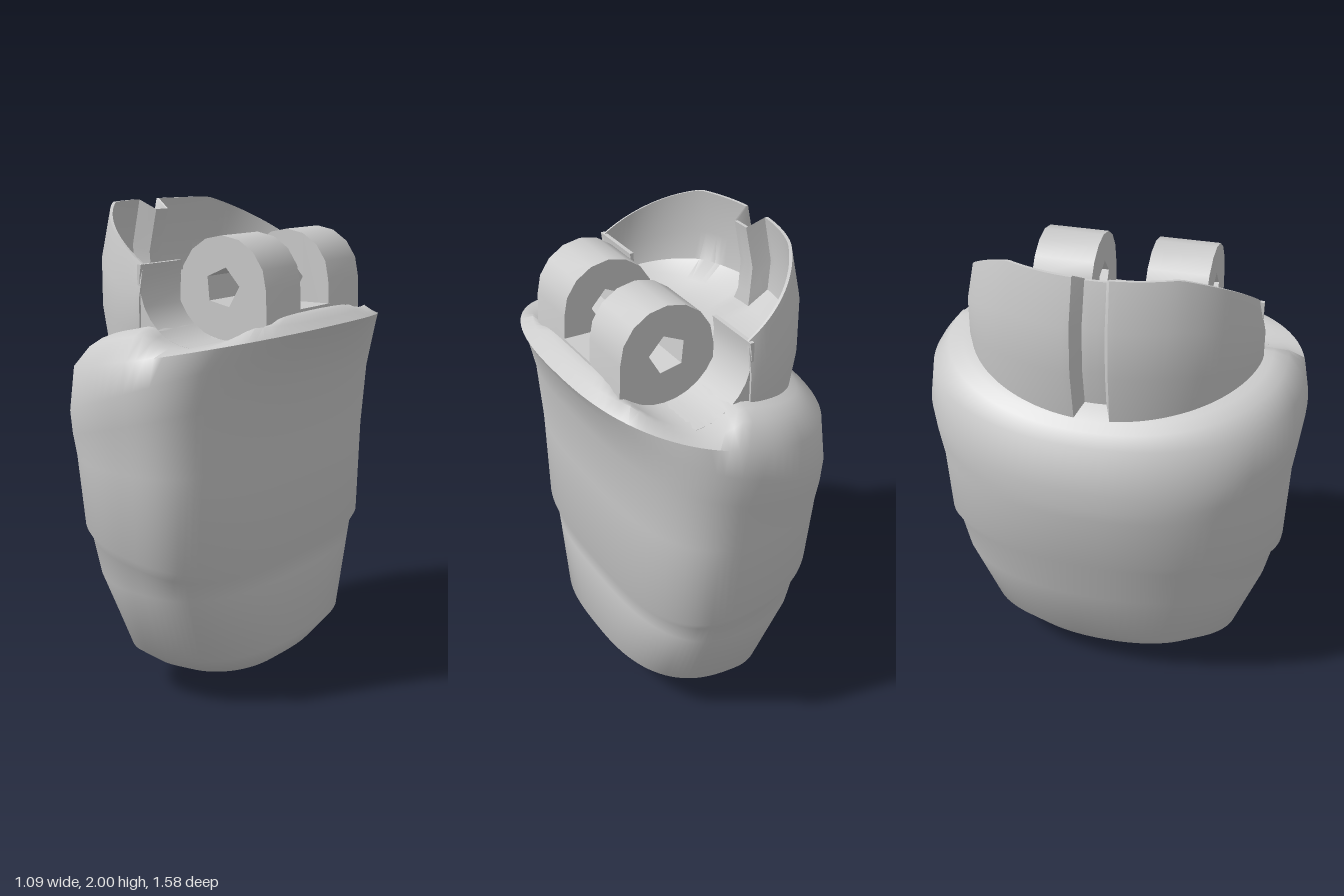
import * as THREE from 'three';
import { toCreasedNormals } from 'three/addons/utils/BufferGeometryUtils.js';

const material = new THREE.MeshStandardMaterial({ color: 0xcccccc, side: THREE.DoubleSide });

// Skin a grid of points: columns i, rows j
function skin(ni, nj, point, crease) {
  const pos = [], index = [];
  for (let i = 0; i <= ni; i++) for (let j = 0; j <= nj; j++) pos.push(...point(i, j));
  for (let i = 0; i < ni; i++) for (let j = 0; j < nj; j++) {
    const a = i * (nj + 1) + j, b = a + nj + 1;
    index.push(a, a + 1, b, b, a + 1, b + 1);
  }
  const g = new THREE.BufferGeometry();
  g.setAttribute('position', new THREE.Float32BufferAttribute(pos, 3));
  g.setIndex(index);
  return toCreasedNormals(g, crease);
}

function add(parent, name, geometry) {
  const mesh = new THREE.Mesh(geometry, material);
  mesh.name = name;
  parent.add(mesh);
  return mesh;
}

const PIVOT = { x: 0.215, y: 1.69 };
const SCOOP = { x: 0.235, y: 1.725, r: 0.24 };
const DECK = 12; // first ring of the top deck

// Body rings: y, tilt along x, extent to -x, extent to +x, half depth, squareness of +x side
const RINGS = [
  [0.003, 0, 0, 0, 0, 2],
  [0.015, 0, 0.06, 0.12, 0.13, 2],
  [0.05, 0, 0.15, 0.24, 0.31, 2.2],
  [0.11, 0, 0.22, 0.32, 0.43, 2.4],
  [0.20, 0, 0.29, 0.385, 0.56, 2.7],
  [0.50, -0.05, 0.425, 0.37, 0.675, 3],
  [0.62, -0.20, 0.465, 0.37, 0.705, 3],
  [0.665, -0.20, 0.485, 0.39, 0.735, 3],
  [1.00, 0, 0.525, 0.40, 0.75, 3],
  [1.18, 0.25, 0.53, 0.43, 0.775, 2.8],
  [1.30, 0.33, 0.53, 0.48, 0.79, 2.6],
  [1.43, 0.19, 0.51, 0.52, 0.77, 2.5],
  [1.52, 0.20, 0.46, 0.48, 0.70, 2.4],
  [1.54, 0.20, 0.43, 0.45, 0.64, 2.3],
  [1.55, 0.20, 0.39, 0.41, 0.56, 2.2],
  [1.55, 0.18, 0.35, 0.37, 0.50, 2.2],
  [1.55, 0.16, 0.30, 0.32, 0.44, 2.2],
  [1.55, 0.14, 0.25, 0.27, 0.38, 2.2],
  [1.55, 0.12, 0.20, 0.21, 0.31, 2.2],
  [1.55, 0.10, 0.13, 0.14, 0.22, 2.2],
  [1.55, 0.10, 0, 0, 0, 2],
];

function bodyPoint(i, j) {
  const [y0, tilt, back, front, depth, square] = RINGS[j];
  const t = (i / 96) * Math.PI * 2, c = Math.cos(t), s = Math.sin(t);
  const e = 2 / (c > 0 ? square : 2.15);
  const x = (c > 0 ? front : -back) * Math.abs(c) ** e + (j < 2 ? 0.04 : 0);
  const z = Math.sign(s) * depth * Math.abs(s) ** e;
  let y = y0 + tilt * x;
  if (j >= DECK) {
    y -= 0.27 * x * x;
    // Round scoops in the deck beside the knuckles
    const d = x - SCOOP.x;
    if (Math.abs(d) < SCOOP.r) {
      const pipe = SCOOP.y - Math.sqrt(SCOOP.r ** 2 - d * d);
      const blend = THREE.MathUtils.clamp((Math.abs(z) - 0.2) / 0.13, 0, 1);
      y += Math.min(0, pipe - y) * blend;
    }
  }
  return [x, y, z];
}

// Shell wall section: radius factor, height fraction (outside, rim, then inner bowl)
const WALL = [[0.91, 0], [1, 0.4], [1, 0.7], [0.91, 1], [0.88, 1], [0.96, 0.7], [0.94, 0.5], [0.78, 0.4], [0.45, 0.31], [0, 0.29]];
const SHELL = { a: 0.46, b: 0.605, base: 1.36 };

function shellPoint(i, j) {
  const t = Math.PI / 2 + (i / 64) * Math.PI;
  const [f, h] = WALL[j];
  const c = Math.cos(t), s = Math.sin(t);
  const notch = Math.abs(SHELL.b * s - 0.01) < 0.06;
  const top = Math.min(2, 1.785 - 0.57 * SHELL.a * c) - (notch ? 0.04 : 0);
  // Bowl rows stay level so they meet at one floor
  const y = j > 6 ? 1.44 + h * 0.42 : SHELL.base + h * (top - SHELL.base);
  return [SHELL.a * f * c + (notch && j < 7 ? 0.07 : 0), y, SHELL.b * Math.sqrt(f) * s];
}

// Concave block rising from a scoop to the shell end
function scoopWallGeometry() {
  const shape = new THREE.Shape();
  shape.moveTo(-0.015, 1.45);
  shape.lineTo(SCOOP.x, 1.45);
  for (let k = 0; k <= 8; k++) {
    const t = Math.PI * (1.5 - 0.58 * (k / 8));
    shape.lineTo(SCOOP.x + SCOOP.r * Math.cos(t), SCOOP.y + SCOOP.r * Math.sin(t));
  }
  shape.lineTo(-0.015, 1.785);
  return toCreasedNormals(new THREE.ExtrudeGeometry(shape, { depth: 0.265, bevelEnabled: false }), 0.6);
}

// Knuckle side outline with a five-sided pivot hole
function knuckleGeometry() {
  const r = 0.2, { x, y } = PIVOT;
  const shape = new THREE.Shape();
  shape.moveTo(x - r, 1.42);
  for (let k = 0; k <= 8; k++) {
    const t = Math.PI - (k / 8) * Math.PI;
    shape.lineTo(x + r * Math.cos(t), y + r * Math.sin(t));
  }
  shape.lineTo(x + r + 0.01, 1.42);
  const hole = new THREE.Path();
  for (let k = 0; k < 5; k++) {
    const t = 0.1 + (k / 5) * Math.PI * 2;
    const px = x + 0.08 * Math.cos(t), py = y + 0.08 * Math.sin(t);
    if (k) hole.lineTo(px, py); else hole.moveTo(px, py);
  }
  hole.closePath();
  shape.holes.push(hole);
  return toCreasedNormals(new THREE.ExtrudeGeometry(shape, { depth: 0.25, bevelEnabled: false }), 0.6);
}

export function createModel() {
  const model = new THREE.Group();
  model.name = 'hingedCap';
  // The whole form is turned slightly about the vertical
  const assembly = new THREE.Group();
  assembly.name = 'assembly';
  assembly.rotation.y = -0.17;
  model.add(assembly);

  add(assembly, 'body', skin(96, RINGS.length - 1, bodyPoint, 1.1));
  add(assembly, 'backShell', skin(64, WALL.length - 1, shellPoint, 0.7));

  // Flat ends closing the shell wall
  for (const [name, column, turn] of [['shellEndLeft', 0, 1], ['shellEndRight', 64, -1]]) {
    const outline = WALL.map((_, j) => {
      const p = shellPoint(column, j);
      return new THREE.Vector2(Math.abs(p[2]), p[1]);
    });
    const end = add(assembly, name, new THREE.ShapeGeometry(new THREE.Shape(outline)));
    end.rotation.y = -turn * Math.PI / 2;
  }

  // Curved walls between the shell ends and the knuckles
  const wall = scoopWallGeometry();
  add(assembly, 'frontScoopWall', wall).position.z = 0.33;
  add(assembly, 'rearScoopWall', wall).position.z = -0.595;

  // Pair of hinge knuckles
  const knuckle = knuckleGeometry();
  add(assembly, 'frontKnuckle', knuckle).position.z = 0.11;
  add(assembly, 'rearKnuckle', knuckle).position.z = -0.36;

  // Flat floor between the knuckles
  const floor = add(assembly, 'hingeFloor', new THREE.BoxGeometry(0.43, 0.15, 0.24));
  floor.position.set(0.205, 1.52, 0);

  return model;
}
